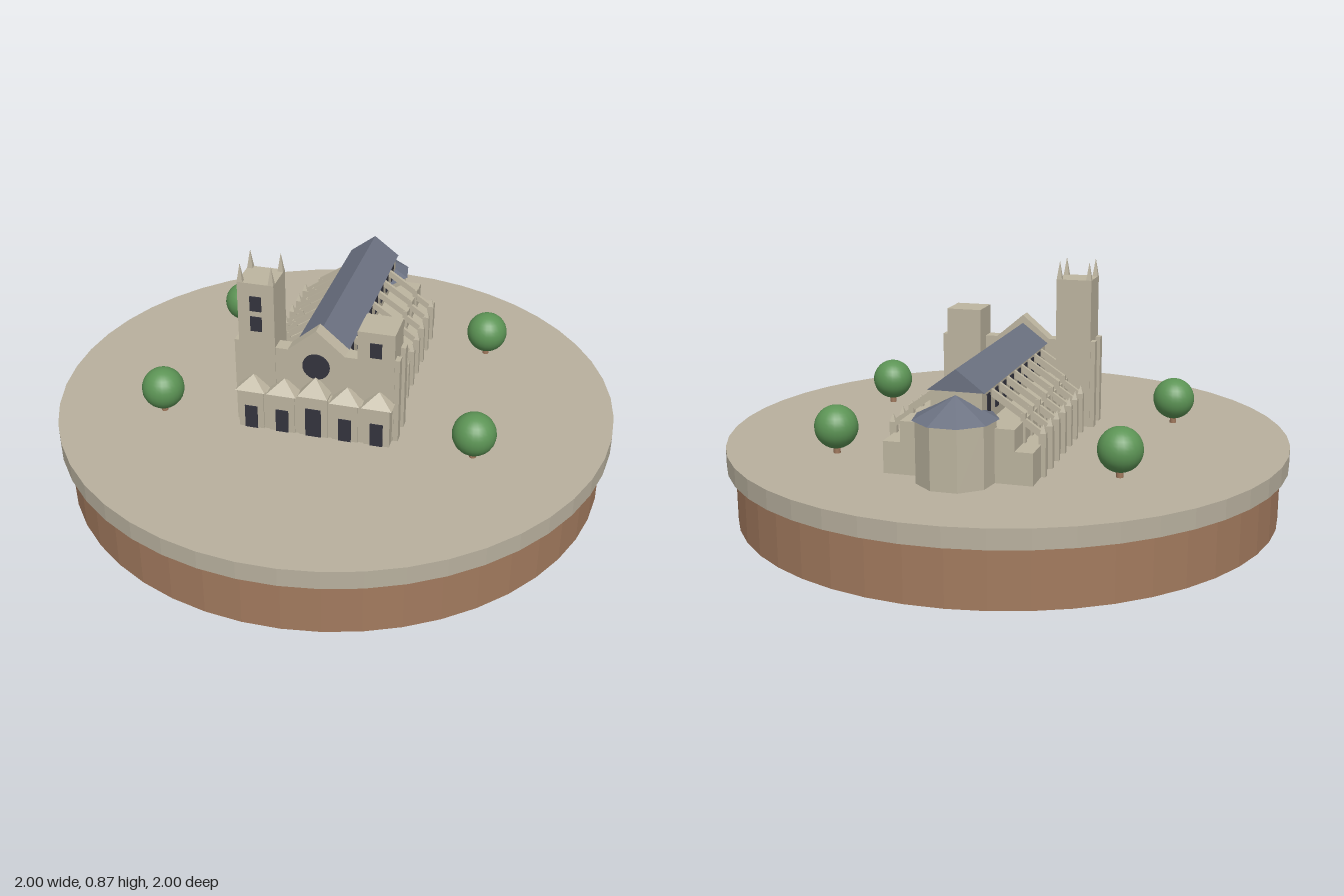
import * as THREE from 'three';

const mat = (name, color) => {
  const m = new THREE.MeshStandardMaterial({ color });
  m.name = name;
  return m;
};

// Give a geometry hard facets
const flat = (g) => {
  const f = g.index ? g.toNonIndexed() : g;
  f.computeVertexNormals();
  return f;
};

export function createModel() {
  const stone = mat('stone', 0xbdb5a0);
  const ground = mat('ground', 0xb8b09e);
  const earth = mat('earth', 0xa27a5e);
  const slate = mat('slate', 0x6c7282);
  const dark = mat('darkOpening', 0x34343e);
  const leaf = mat('foliage', 0x5c9455);

  const G = 0.266; // ground level
  const root = new THREE.Group();
  root.name = 'cathedralOnPlinth';

  const add = (parent, name, geo, m, x = 0, y = 0, z = 0) => {
    const mesh = new THREE.Mesh(geo, m);
    mesh.name = name;
    mesh.position.set(x, y, z);
    parent.add(mesh);
    return mesh;
  };
  // Box given by centre x, z and its bottom and top
  const box = (parent, name, m, x, z, w, d, y0, y1) =>
    add(parent, name, new THREE.BoxGeometry(w, y1 - y0, d), m, x, (y0 + y1) / 2, z);
  // Four-sided pyramid with half sizes hx, hz
  const pyramid = (parent, name, m, x, z, hx, hz, y0, y1) => {
    const g = new THREE.ConeGeometry(Math.SQRT2, y1 - y0, 4).rotateY(Math.PI / 4).scale(hx, 1, hz);
    return add(parent, name, flat(g), m, x, (y0 + y1) / 2, z);
  };
  // Outline in x, y extruded from z0 to z1
  const prism = (parent, name, m, pts, z0, z1) => {
    const s = new THREE.Shape(pts.map(([x, y]) => new THREE.Vector2(x, y)));
    const g = new THREE.ExtrudeGeometry(s, { depth: z1 - z0, bevelEnabled: false });
    return add(parent, name, g, m, 0, 0, z0);
  };

  // Plinth
  add(root, 'earthBase', flat(new THREE.CylinderGeometry(0.97, 0.97, 0.2, 48)), earth, 0, 0.1, 0);
  add(root, 'groundDisc', flat(new THREE.CylinderGeometry(1, 1, G - 0.2, 48)), ground, 0, (G + 0.2) / 2, 0);

  // Trees
  for (const [x, z] of [[-0.32, -0.56], [0.6, -0.23], [-0.62, 0.07], [0.425, 0.45]]) {
    add(root, 'treeCrown', new THREE.SphereGeometry(0.075, 24, 16), leaf, x, 0.359, z);
    add(root, 'treeTrunk', new THREE.CylinderGeometry(0.012, 0.012, 0.06, 8), earth, x, G + 0.03, z);
  }

  const church = new THREE.Group();
  church.name = 'cathedral';
  church.rotation.y = -Math.PI / 9;
  root.add(church);

  // Nave, roof and aisles
  const back = -0.585, front = 0.21, mid = (back + front) / 2, len = front - back;
  box(church, 'naveWalls', stone, 0, mid, 0.17, len, G, 0.557);
  prism(church, 'naveRoof', slate, [[-0.095, 0.555], [0.095, 0.555], [0, 0.627]], back - 0.004, front);
  box(church, 'innerAisles', stone, 0, mid, 0.38, len, G, 0.445);
  box(church, 'outerAisles', stone, 0, mid, 0.5, len, G, 0.374);

  // Apse
  add(church, 'apseWall', flat(new THREE.CylinderGeometry(0.13, 0.13, 0.475 - G, 9)), stone, 0, (0.475 + G) / 2, -0.593);
  add(church, 'apseRoof', flat(new THREE.ConeGeometry(0.14, 0.073, 9)), slate, 0, 0.5085, -0.593);

  // Flying buttresses, piers and clerestory windows
  for (const s of [-1, 1]) {
    for (let i = 0; i < 8; i++) {
      const z = 0.147 - 0.089 * i;
      box(church, 'clerestoryWindow', dark, s * 0.085, z - 0.0445, 0.008, 0.03, 0.475, 0.54);
      prism(church, 'upperFlyer', stone,
        [[s * 0.08, 0.522], [s * 0.08, 0.548], [s * 0.195, 0.472], [s * 0.195, 0.446]], z - 0.007, z + 0.007);
      prism(church, 'lowerFlyer', stone,
        [[s * 0.18, 0.44], [s * 0.18, 0.466], [s * 0.255, 0.415], [s * 0.255, 0.389]], z - 0.007, z + 0.007);
      box(church, 'upperPier', stone, s * 0.19, z, 0.016, 0.018, G, 0.472);
      box(church, 'buttressPier', stone, s * 0.253, z, 0.024, 0.02, G, 0.41);
      pyramid(church, 'pierPinnacle', stone, s * 0.255, z, 0.01, 0.01, 0.41, 0.44);
    }
  }

  // West front with gable and rose window
  prism(church, 'westGable', stone,
    [[-0.15, G], [0.15, G], [0.15, 0.572], [0.1, 0.572], [0, 0.657], [-0.1, 0.572], [-0.15, 0.572]], 0.2, 0.255);
  add(church, 'roseWindow', new THREE.CylinderGeometry(0.048, 0.048, 0.008, 24).rotateX(Math.PI / 2), dark, 0, 0.52, 0.256);

  // Towers with corner buttresses
  for (const [s, top] of [[-1, 0.807], [1, 0.68]]) {
    const x = s * 0.208, z = 0.194;
    box(church, 'tower', stone, x, z, 0.128, 0.128, G, top);
    for (const dz of [0.045, -0.045])
      box(church, 'towerButtress', stone, s * 0.272, z + dz, 0.034, 0.034, G, 0.585);
    const windows = s < 0 ? [[0.706, 0.76], [0.63, 0.684]] : [[0.588, 0.642]];
    for (const [y0, y1] of windows) box(church, 'towerWindow', dark, x, 0.259, 0.04, 0.008, y0, y1);
  }
  for (const dx of [-1, 1])
    for (const dz of [-1, 1])
      pyramid(church, 'towerPinnacle', stone, -0.208 + dx * 0.054, 0.194 + dz * 0.054, 0.01, 0.01, 0.805, 0.873);

  // Five porches across the front
  for (let i = -2; i <= 2; i++) {
    const x = i * 0.1115, main = i === 0;
    const eave = main ? 0.425 : 0.415;
    box(church, 'porch', stone, x, 0.262, main ? 0.1 : 0.09, 0.076, G, eave);
    pyramid(church, 'porchRoof', stone, x, 0.264, 0.053, 0.046, eave, main ? 0.482 : 0.46);
    box(church, 'porchDoor', dark, x, 0.3, main ? 0.055 : 0.045, 0.008, G, main ? 0.375 : 0.353);
  }
  box(church, 'porchWall', stone, 0, 0.265, 0.53, 0.06, G, 0.413);

  return root;
}
